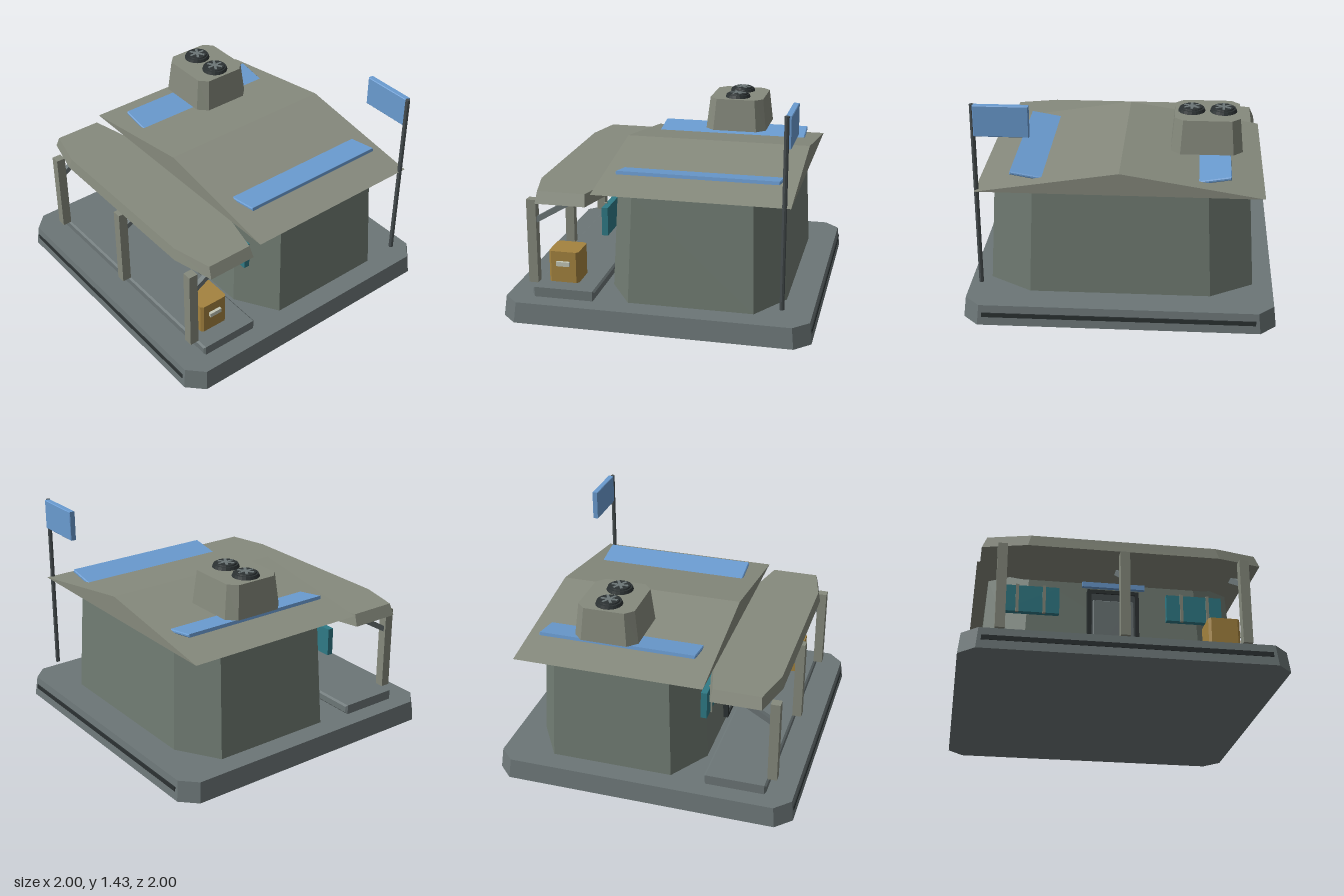
import * as THREE from 'three';

const mat = (color, extra = {}) =>
  new THREE.MeshStandardMaterial({ color, flatShading: true, ...extra });
const M = {
  base: mat(0x6c7677), wall: mat(0x707b72), roof: mat(0x868a7d), dark: mat(0x2c3233),
  blue: mat(0x6a9bd0), teal: mat(0x2f7a86), crate: mat(0xa4833f), pale: mat(0xc4c8b8),
  trim: mat(0x454c4e),
};

export function createModel() {
  const root = new THREE.Group();

  const add = (name, geo, material, x = 0, y = 0, z = 0, parent = root) => {
    const m = new THREE.Mesh(geo, material);
    m.name = name;
    m.position.set(x, y, z);
    parent.add(m);
    return m;
  };
  const box = (name, w, h, d, material, x, y, z, parent) =>
    add(name, new THREE.BoxGeometry(w, h, d), material, x, y, z, parent);

  // Block with cut vertical corners; (hw, hd) half sizes, (cx, cz) corner cuts,
  // (tx, tz) scale of the top relative to the bottom, standing on y = 0
  const block = (hw, hd, cx, cz, h, tx = 1, tz = 1) => {
    const s = new THREE.Shape([
      [hw, -hd + cz], [hw, hd - cz], [hw - cx, hd], [-hw + cx, hd],
      [-hw, hd - cz], [-hw, -hd + cz], [-hw + cx, -hd], [hw - cx, -hd],
    ].map(([x, y]) => new THREE.Vector2(x, y)));
    const g = new THREE.ExtrudeGeometry(s, { depth: h, bevelEnabled: false });
    g.rotateX(-Math.PI / 2);
    const p = g.attributes.position;
    for (let i = 0; i < p.count; i++) {
      if (p.getY(i) > h / 2) p.setXYZ(i, p.getX(i) * tx, h, p.getZ(i) * tz);
    }
    g.computeVertexNormals();
    return g;
  };

  // Slab lying on its back with small bevels, facing +z
  const slab = (w, h, d, b) => {
    const x = w / 2 - b, y = h / 2 - b;
    const s = new THREE.Shape([[-x, -y], [x, -y], [x, y], [-x, y]].map(([a, c]) => new THREE.Vector2(a, c)));
    return new THREE.ExtrudeGeometry(s, {
      depth: d - 2 * b, bevelSize: b, bevelThickness: b, bevelSegments: 1,
    }).translate(0, 0, b - d / 2);
  };

  // Foundation with a groove strip on front and back
  add('foundation', block(1, 1, 0.1, 0.1, 0.135, 0.985, 0.985), M.base);
  for (const s of [1, -1]) box('foundationStrip', 1.74, 0.03, 0.02, M.dark, 0, 0.07, s * 0.987);

  // Tapered hut walls
  add('walls', block(0.855, 0.575, 0.275, 0.17, 0.705, 0.95, 0.945), M.wall, 0, 0.145, -0.225);

  // Gabled main roof
  const gable = new THREE.Shape();
  gable.moveTo(-0.9, 0.865);
  gable.lineTo(0.9, 0.865);
  gable.lineTo(0, 1.01);
  add('mainRoof', new THREE.ExtrudeGeometry(gable, { depth: 1.25, bevelEnabled: false }),
    M.roof, 0, 0, -0.85);

  // Roof panels, tilted up toward the eaves
  for (const s of [1, -1]) {
    const panel = add('roofPanel', slab(0.205, 0.022, 1.05, 0.006), M.blue, s * 0.59, 0.937, -0.23);
    panel.rotation.z = s * 0.17;
  }

  // Roof ventilation unit with two fans
  const vent = new THREE.Group();
  vent.name = 'ventilationUnit';
  vent.position.set(-0.535, 1.0, -0.285);
  root.add(vent);
  add('ventHousing', block(0.23, 0.212, 0.06, 0.06, 0.22, 0.91, 0.88), M.roof, 0, 0, 0, vent);
  for (const s of [1, -1]) {
    const x = s * 0.102;
    add('fanRing', new THREE.CylinderGeometry(0.08, 0.088, 0.02, 20), M.dark, x, 0.23, 0, vent);
    add('fanTop', new THREE.CylinderGeometry(0.066, 0.07, 0.01, 20), M.dark, x, 0.243, 0, vent);
    for (let i = 0; i < 3; i++) {
      const blade = box('fanBlade', 0.11, 0.006, 0.017, M.base, x, 0.249, 0, vent);
      blade.rotation.y = (i * Math.PI) / 3 + Math.PI / 6;
    }
  }

  // Flag and pole
  add('flagPole', new THREE.CylinderGeometry(0.015, 0.015, 1.22, 8), M.trim, 0.892, 0.82, -0.81);
  add('flag', slab(0.34, 0.2, 0.04, 0.004), M.blue, 0.715, 1.33, -0.82);

  // Porch deck and canopy
  add('porchDeck', slab(1.73, 0.065, 0.41, 0.012), M.base, 0, 0.168, 0.607);
  add('porchRoof', block(0.885, 0.235, 0.28, 0.07, 0.075, 0.965, 0.945), M.roof, 0, 0.775, 0.605);

  // Posts with diagonal braces
  for (const x of [-0.758, 0, 0.758]) {
    box('porchPost', 0.06, 0.565, 0.062, M.roof, x, 0.4825, 0.832);
    const brace = box('postBrace', 0.032, 0.036, 0.33, M.base, x, 0.705, 0.672);
    brace.rotation.x = Math.atan2(0.16, 0.27);
  }

  // Door: frame with opening, recessed leaf and light panel
  const door = new THREE.Group();
  door.name = 'door';
  root.add(door);
  const frame = new THREE.Shape();
  frame.moveTo(-0.17, 0.19);
  frame.lineTo(0.17, 0.19);
  frame.lineTo(0.17, 0.73);
  frame.lineTo(-0.17, 0.73);
  const hole = new THREE.Path();
  hole.moveTo(-0.145, 0.215);
  hole.lineTo(-0.145, 0.705);
  hole.lineTo(0.145, 0.705);
  hole.lineTo(0.145, 0.215);
  frame.holes.push(hole);
  add('doorFrame', new THREE.ExtrudeGeometry(frame, { depth: 0.045, bevelEnabled: false }),
    M.dark, 0, 0, 0.335, door);
  box('doorLeaf', 0.29, 0.49, 0.04, M.trim, 0, 0.46, 0.35, door);
  add('doorPanel', slab(0.27, 0.4, 0.03, 0.006), M.base, 0, 0.45, 0.375, door);
  box('doorLamp', 0.415, 0.038, 0.028, M.blue, 0, 0.76, 0.382);

  // Windows with two upright bars each
  for (const s of [1, -1]) {
    box('window', 0.37, 0.185, 0.04, M.teal, s * 0.54, 0.632, 0.36);
    for (const x of [0.455, 0.63]) box('windowBar', 0.02, 0.195, 0.02, M.roof, s * x, 0.632, 0.38);
  }

  // Crate on the porch with a handle on its outer side
  add('crate', block(0.1, 0.1, 0.016, 0.016, 0.21), M.crate, 0.645, 0.2, 0.64);
  box('crateHandle', 0.025, 0.03, 0.088, M.pale, 0.752, 0.33, 0.64);

  return root;
}
